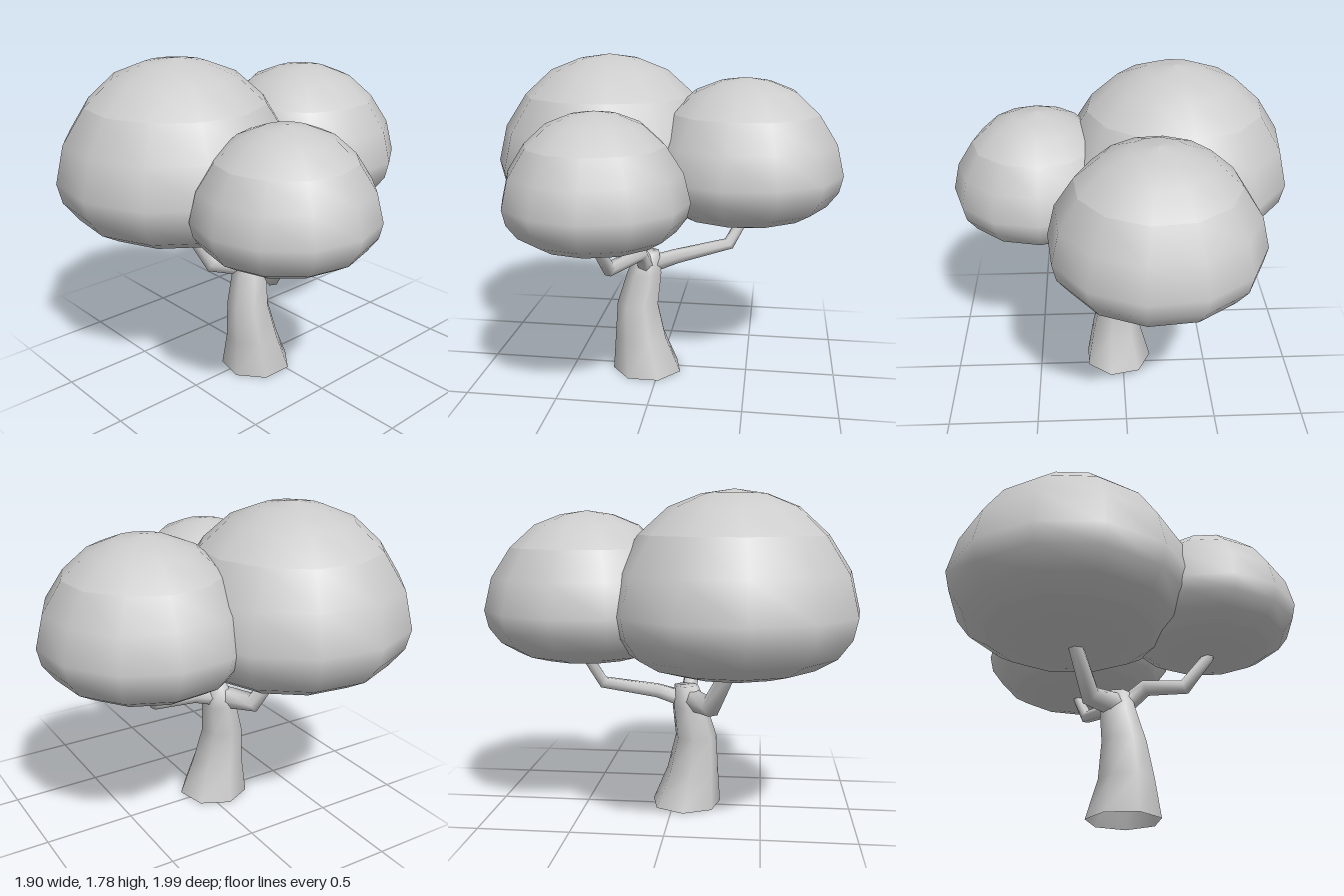
import * as THREE from 'three';

const material = new THREE.MeshStandardMaterial({ color: 0xcccccc, side: THREE.DoubleSide });

// Skin of rings along a path of [x, y, z, radius]; each ring faces the path,
// or straight up when flat is set.
function loft(name, path, sides, { flat = false, start = 0 } = {}) {
  const pts = path.map(p => new THREE.Vector3(p[0], p[1], p[2]));
  const last = pts.length - 1;
  const heading = pts[last].clone().sub(pts[0]);
  const ref = flat ? new THREE.Vector3(1, 0, 0)
    : new THREE.Vector3(-heading.z, 0, heading.x).normalize();
  const pos = [], idx = [];
  pts.forEach((c, i) => {
    const t = new THREE.Vector3(0, 1, 0);
    if (!flat) {
      t.set(0, 0, 0);
      if (i > 0) t.add(c.clone().sub(pts[i - 1]).normalize());
      if (i < last) t.add(pts[i + 1].clone().sub(c).normalize());
      t.normalize();
    }
    const u = ref.clone().addScaledVector(t, -ref.dot(t)).normalize();
    const v = t.clone().cross(u);
    for (let j = 0; j < sides; j++) {
      const a = start + (j / sides) * Math.PI * 2;
      const p = c.clone()
        .addScaledVector(u, Math.cos(a) * path[i][3])
        .addScaledVector(v, Math.sin(a) * path[i][3]);
      pos.push(p.x, p.y, p.z);
      if (i < last) {
        const k = (j + 1) % sides, r = i * sides, s = r + sides;
        idx.push(r + j, r + k, s + k, r + j, s + k, s + j);
      }
    }
  });
  const geo = new THREE.BufferGeometry();
  geo.setAttribute('position', new THREE.Float32BufferAttribute(pos, 3));
  geo.setIndex(idx);
  geo.computeVertexNormals();
  const mesh = new THREE.Mesh(geo, material);
  mesh.name = name;
  return mesh;
}

// Crown profile [radius, height]: flat underside, rounded wall, domed cap
const bands = {
  Underside: [[0, 0], [0.2, 0.003], [0.31, 0.02], [0.45, 0.06]],
  Wall: [[0.45, 0.06], [0.56, 0.125], [0.635, 0.225], [0.66, 0.335], [0.61, 0.54], [0.49, 0.725]],
  Cap: [[0.49, 0.725], [0.335, 0.865], [0.17, 0.93], [0, 0.955]],
};

function crown(name, x, y, z, scale, turn) {
  const group = new THREE.Group();
  group.name = name;
  for (const [band, profile] of Object.entries(bands)) {
    const points = profile.map(([r, h]) => new THREE.Vector2(r, h));
    const mesh = new THREE.Mesh(
      new THREE.LatheGeometry(points, 12, -THREE.MathUtils.degToRad(turn)), material);
    mesh.name = name + band;
    group.add(mesh);
  }
  group.position.set(x, y, z);
  group.scale.setScalar(scale);
  return group;
}

export function createModel() {
  const tree = new THREE.Group();
  tree.name = 'tree';

  // Leaning, tapering trunk, open at the base
  tree.add(loft('trunk', [
    [0.03, 0, 0.07, 0.2],
    [0.04, 0.2, 0.105, 0.15],
    [0.025, 0.4, 0.125, 0.12],
    [0, 0.58, 0.09, 0.1],
    [0.005, 0.7, 0.07, 0.068],
    [0.005, 0.7, 0.07, 0],
  ], 7, { flat: true, start: -THREE.MathUtils.degToRad(26) }));

  // Bent branches, each running up into its crown
  tree.add(loft('frontBranch', [
    [-0.01, 0.62, 0.1, 0.065], [-0.17, 0.615, 0.22, 0.058],
    [-0.26, 0.83, 0.32, 0.042], [-0.3, 0.95, 0.35, 0.038],
  ], 6));
  tree.add(loft('leftBranch', [
    [0.04, 0.63, 0.08, 0.05], [0.15, 0.735, 0.09, 0.045],
    [0.335, 0.695, 0.23, 0.04], [0.46, 0.86, 0.27, 0.032], [0.48, 0.95, 0.27, 0.03],
  ], 6));
  tree.add(loft('backBranch', [
    [0, 0.62, 0.06, 0.05], [-0.02, 0.67, -0.09, 0.042],
    [-0.11, 0.73, -0.38, 0.036], [-0.15, 0.86, -0.45, 0.032], [-0.16, 0.95, -0.46, 0.03],
  ], 6));

  // Three overlapping crowns of the same shape
  tree.add(crown('frontCrown', -0.3, 0.825, 0.34, 1, 22));
  tree.add(crown('leftCrown', 0.465, 0.86, 0.265, 0.73, 28));
  tree.add(crown('backCrown', -0.15, 0.87, -0.45, 0.84, 9));

  return tree;
}
